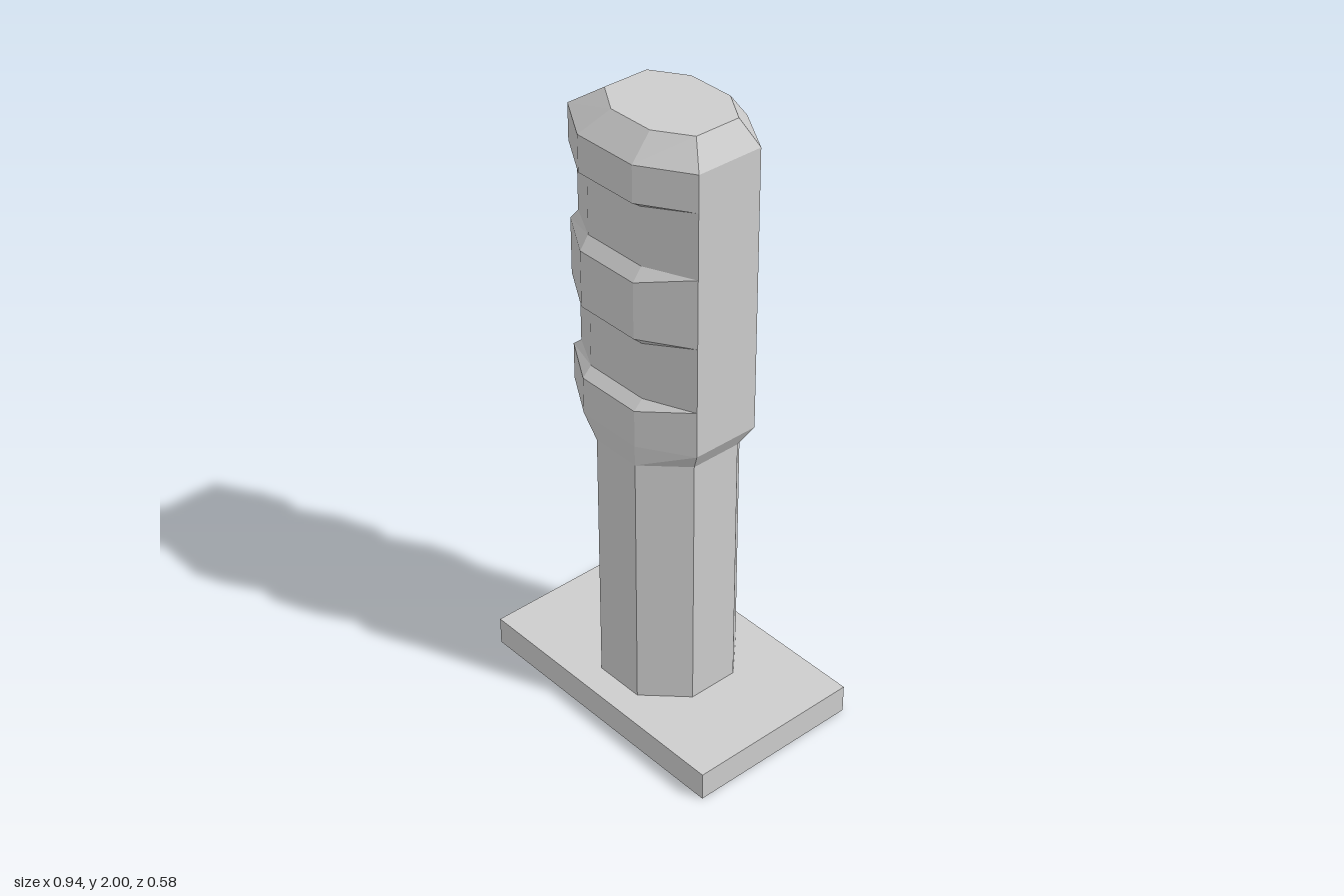
import * as THREE from 'three';

const grey = new THREE.MeshStandardMaterial({ color: 0xcccccc });
grey.name = 'grey';

// Eight-sided ring: x of left face, left corner, right corner, right face; z of side faces, end faces
function ring(y, x0, x1, x2, x3, zEnd, zSide) {
  return [
    [x3, -zEnd], [x3, zEnd], [x2, zSide], [x1, zSide],
    [x0, zEnd], [x0, -zEnd], [x1, -zSide], [x2, -zSide],
  ].map(([x, z]) => new THREE.Vector3(x, y, z));
}

// Flat-faced skin over rings listed from bottom to top, closed at both ends
function loft(name, rings) {
  const pts = [];
  for (let r = 0; r < rings.length - 1; r++) {
    const lo = rings[r], hi = rings[r + 1];
    for (let i = 0; i < 8; i++) {
      const j = (i + 1) % 8;
      pts.push(lo[i], hi[i], lo[j], lo[j], hi[i], hi[j]);
    }
  }
  const bottom = rings[0], top = rings[rings.length - 1];
  for (let i = 1; i < 7; i++) {
    pts.push(top[0], top[i + 1], top[i]);
    pts.push(bottom[0], bottom[i], bottom[i + 1]);
  }
  const geometry = new THREE.BufferGeometry().setFromPoints(pts);
  geometry.computeVertexNormals();
  const mesh = new THREE.Mesh(geometry, grey);
  mesh.name = name;
  return mesh;
}

const shaftRing = (y) => ring(y, -0.2, -0.083, 0.083, 0.2, 0.083, 0.202);
const fullRing = (y) => ring(y, -0.29, -0.135, 0.085, 0.24, 0.11, 0.205);
// Grooves leave the right face flush
const grooveRing = (y) => ring(y, -0.255, -0.135, 0.085, 0.24, 0.11, 0.175);

export function createModel() {
  const group = new THREE.Group();
  group.name = 'post';

  // Rectangular foot
  const base = new THREE.Mesh(new THREE.BoxGeometry(0.942, 0.093, 0.578), grey);
  base.name = 'basePlate';
  base.position.y = 0.0465;
  group.add(base);

  // Octagonal shaft
  group.add(loft('shaft', [shaftRing(0.09), shaftRing(0.952)]));

  // Head with two grooves and a bevelled top
  group.add(loft('groovedHead', [
    shaftRing(0.952),
    fullRing(1.02), fullRing(1.14),
    grooveRing(1.17), grooveRing(1.353),
    fullRing(1.38), fullRing(1.56),
    grooveRing(1.6), grooveRing(1.785),
    fullRing(1.805), fullRing(1.92),
    ring(2, -0.175, -0.07, 0.085, 0.19, 0.075, 0.142),
  ]));
  return group;
}
